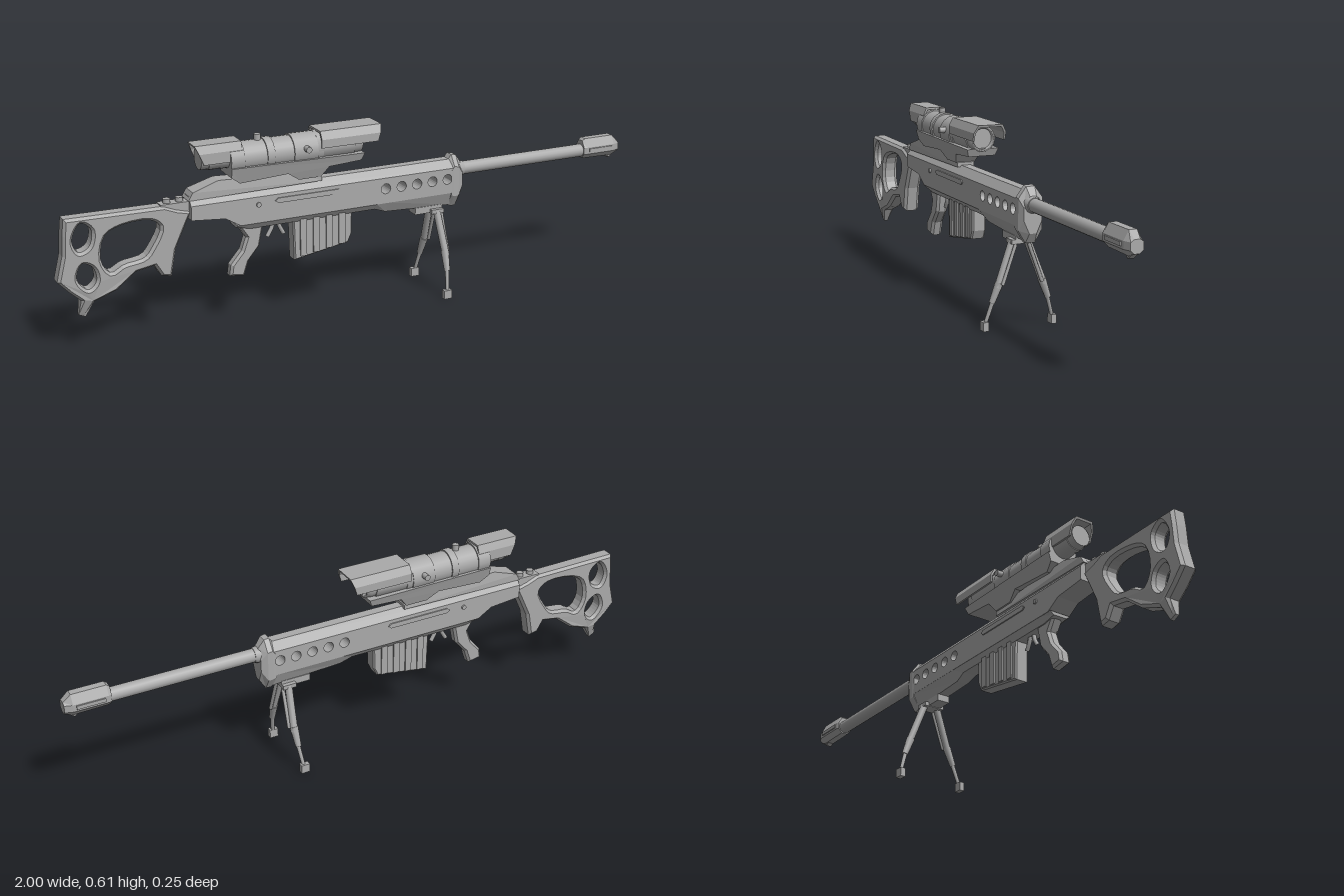
import * as THREE from 'three';

const gunMetal = new THREE.MeshStandardMaterial({ color: 0xaaaaaa });
gunMetal.name = 'gun metal grey';

export function createModel() {
  const root = new THREE.Group();
  root.name = 'rifle';

  const add = (name, geo) => {
    const mesh = new THREE.Mesh(geo, gunMetal);
    mesh.name = name;
    root.add(mesh);
    return mesh;
  };
  const v2 = pts => pts.map(p => new THREE.Vector2(p[0], p[1]));
  const smoothLoop = (pts, n = 28) =>
    new THREE.CatmullRomCurve3(pts.map(p => new THREE.Vector3(p[0], p[1], 0)), true).getPoints(n).slice(0, n);

  // Side outline (x, y) given a half width in z, with chamfered edges and optional holes
  const slab = (pts, half, bevel = 0, holes = []) => {
    const shape = new THREE.Shape(v2(pts));
    holes.forEach(h => shape.holes.push(h.isPath ? h : new THREE.Path(h.map(p => new THREE.Vector2(p.x, p.y)))));
    const depth = 2 * (half - bevel);
    const geo = new THREE.ExtrudeGeometry(shape, {
      depth, curveSegments: 10, bevelEnabled: bevel > 0,
      bevelThickness: bevel, bevelSize: bevel * 0.8, bevelOffset: -bevel * 0.8, bevelSegments: 1,
    });
    return geo.translate(0, 0, -depth / 2);
  };
  // Change vertices by a rule
  const warp = (geo, rule) => {
    const p = geo.attributes.position, v = new THREE.Vector3();
    for (let i = 0; i < p.count; i++) {
      rule(v.fromBufferAttribute(p, i));
      p.setXYZ(i, v.x, v.y, v.z);
    }
    geo.computeVertexNormals();
    return geo;
  };
  // Mirrored half sections [z, y], listed top to bottom, joined along x
  const loft = sections => {
    const rings = sections.map(([x, half]) =>
      [...half, ...half.map(([z, y]) => [-z, y]).reverse()].map(([z, y]) => [x, y, z]));
    const out = [], n = rings[0].length;
    for (let i = 0; i + 1 < rings.length; i++)
      for (let j = 0; j < n; j++) {
        const k = (j + 1) % n, a = rings[i][j], b = rings[i][k], c = rings[i + 1][k], d = rings[i + 1][j];
        out.push(...a, ...b, ...c, ...a, ...c, ...d);
      }
    const first = rings[0], last = rings[rings.length - 1];
    for (let j = 1; j + 1 < n; j++) {
      out.push(...last[0], ...last[j], ...last[j + 1]);
      out.push(...first[0], ...first[j + 1], ...first[j]);
    }
    const geo = new THREE.BufferGeometry();
    geo.setAttribute('position', new THREE.Float32BufferAttribute(out, 3));
    geo.computeVertexNormals();
    return geo;
  };
  const bar = (x0, x1, half) => loft([[x0, half], [x1, half]]);
  // Cylinder along x
  const tube = (x0, x1, y, r0, r1 = r0, sides = 20) =>
    new THREE.CylinderGeometry(r1, r0, x1 - x0, sides).rotateZ(-Math.PI / 2).translate((x0 + x1) / 2, y, 0);
  const box = (x0, x1, y0, y1, z0, z1) =>
    new THREE.BoxGeometry(x1 - x0, y1 - y0, z1 - z0).translate((x0 + x1) / 2, (y0 + y1) / 2, (z0 + z1) / 2);
  // Straight rod between two points
  const rod = (a, b, r0, r1, sides) => {
    const A = new THREE.Vector3(...a), B = new THREE.Vector3(...b), d = B.clone().sub(A);
    const geo = new THREE.CylinderGeometry(r1, r0, d.length(), sides);
    geo.applyQuaternion(new THREE.Quaternion().setFromUnitVectors(new THREE.Vector3(0, 1, 0), d.normalize()));
    return geo.translate(...A.add(B).multiplyScalar(0.5).toArray());
  };

  // Receiver and handguard with a row of round vents
  const vents = [0.083, 0.14, 0.197, 0.254, 0.31].map(x => new THREE.Path().absarc(x, 0.384, 0.017, 0, Math.PI * 2, true));
  vents.forEach(v => { v.isPath = true; });
  add('receiver', slab([[-0.58, 0.42], [-0.58, 0.375], [-0.47, 0.365], [-0.42, 0.335], [0.335, 0.335], [0.335, 0.42]],
    0.039, 0, vents));
  add('receiverTop', bar(-0.58, 0.335, [[0.016, 0.446], [0.039, 0.42]]));
  add('receiverBottom', loft([
    [-0.43, [[0.039, 0.336], [0.024, 0.325]]],
    [-0.38, [[0.039, 0.336], [0.024, 0.315]]],
    [0.05, [[0.039, 0.336], [0.024, 0.315]]],
    [0.09, [[0.039, 0.336], [0.02, 0.3]]],
    [0.335, [[0.039, 0.336], [0.018, 0.288]]],
  ]));
  const cap = (top, w, bottom) => [[w * 0.36, top], [w, top - 0.035], [w, bottom + 0.04], [w * 0.4, bottom]];
  add('handguardCap', loft([
    [0.325, cap(0.446, 0.039, 0.288)], [0.335, cap(0.46, 0.04, 0.283)],
    [0.352, cap(0.457, 0.04, 0.283)], [0.372, cap(0.43, 0.03, 0.315)],
  ]));
  for (const s of [1, -1]) {
    add('ejectionSlot', slab(
      [[-0.305, 0.4], [-0.295, 0.408], [-0.085, 0.408], [-0.075, 0.4], [-0.085, 0.392], [-0.295, 0.392]], 0.004)
      .translate(0, 0, s * 0.039));
    add('receiverPin', new THREE.CylinderGeometry(0.008, 0.008, 0.008, 10).rotateX(Math.PI / 2).translate(-0.36, 0.395, s * 0.04));
  }

  // Barrel and muzzle brake
  add('barrel', tube(0.36, 0.87, 0.404, 0.022, 0.022, 16));
  add('barrelCollar', tube(0.36, 0.385, 0.404, 0.03, 0.024, 16));
  const brake = (t, w, b) => [[w * 0.45, t], [w, 0.418], [w, 0.395], [w * 0.45, b]];
  add('muzzleBrake', loft([
    [0.855, brake(0.44, 0.025, 0.38)], [0.865, brake(0.447, 0.028, 0.378)],
    [0.975, brake(0.447, 0.028, 0.376)], [1.0, brake(0.425, 0.02, 0.385)],
  ]));
  add('muzzleFin', slab([[0.95, 0.385], [0.967, 0.366], [0.993, 0.385]], 0.012, 0.003));
  for (const s of [1, -1]) add('brakePort', box(0.875, 0.965, 0.402, 0.414, s * 0.028 - 0.004, s * 0.028 + 0.004));

  // Skeleton stock, narrowing towards the toe
  const stockHoles = [
    [[-0.92, 0.412], [-0.888, 0.388], [-0.897, 0.336], [-0.93, 0.322], [-0.948, 0.362]],
    [[-0.848, 0.362], [-0.794, 0.388], [-0.7, 0.389], [-0.674, 0.364], [-0.703, 0.302], [-0.728, 0.274],
      [-0.794, 0.262], [-0.835, 0.243], [-0.863, 0.286]],
    [[-0.922, 0.284], [-0.889, 0.268], [-0.88, 0.224], [-0.906, 0.2], [-0.94, 0.238]],
  ].map(h => smoothLoop(h));
  add('stock', warp(slab([
    [-0.97, 0.432], [-0.976, 0.38], [-0.98, 0.318], [-1, 0.238], [-0.965, 0.2], [-0.93, 0.168], [-0.938, 0.12],
    [-0.917, 0.11], [-0.89, 0.158], [-0.82, 0.184], [-0.757, 0.233], [-0.698, 0.243], [-0.676, 0.206],
    [-0.644, 0.2], [-0.628, 0.286], [-0.596, 0.355], [-0.575, 0.4], [-0.62, 0.412], [-0.66, 0.428],
  ], 0.028, 0.01, stockHoles), v => { v.z *= THREE.MathUtils.clamp(0.36 + (v.y - 0.125) * 13, 0.36, 1); }));
  add('stockHinge', box(-0.67, -0.56, 0.4, 0.432, -0.02, 0.02));
  for (const x of [-0.645, -0.605])
    add('hingeKnuckle', new THREE.CylinderGeometry(0.012, 0.012, 0.05, 12).translate(x, 0.42, 0));

  // Pistol grip, trigger and magazine
  add('pistolGrip', slab([
    [-0.43, 0.345], [-0.395, 0.286], [-0.41, 0.243], [-0.447, 0.2], [-0.452, 0.165], [-0.404, 0.157],
    [-0.388, 0.205], [-0.35, 0.25], [-0.334, 0.33],
  ], 0.02, 0.009));
  const curve = pts => new THREE.CatmullRomCurve3(pts.map(p => new THREE.Vector3(p[0], p[1], 0)));
  add('trigger', new THREE.TubeGeometry(curve([[-0.295, 0.33], [-0.302, 0.3], [-0.318, 0.272]]), 8, 0.007, 8));
  add('magazineCatch', new THREE.TubeGeometry(curve([[-0.285, 0.33], [-0.275, 0.3], [-0.262, 0.275]]), 8, 0.007, 8));
  add('magazine', slab([[-0.238, 0.33], [-0.234, 0.185], [-0.045, 0.216], [-0.032, 0.245], [-0.03, 0.33]], 0.024, 0.005));
  for (const s of [1, -1]) for (let i = 0; i < 4; i++) {
    const x = -0.215 + i * 0.045, low = 0.197 + i * 0.007;
    add('magazineRib', box(x, x + 0.022, low, 0.325, s * 0.025 - 0.004, s * 0.025 + 0.004));
  }

  // Folding bipod
  add('bipodMount', box(0.2, 0.3, 0.272, 0.295, -0.022, 0.022));
  add('bipodAxle', box(0.255, 0.3, 0.27, 0.284, -0.036, 0.036));
  for (const s of [1, -1]) {
    add('bipodUpperLeg', rod([0.278, 0.28, s * 0.024], [0.287, 0.135, s * 0.078], 0.012, 0.012, 8));
    add('bipodStrut', rod([0.297, 0.27, s * 0.022], [0.3, 0.145, s * 0.067], 0.006, 0.006, 6));
    add('bipodSleeve', rod([0.286, 0.15, s * 0.072], [0.283, 0.088, s * 0.096], 0.014, 0.01, 8));
    add('bipodLowerLeg', rod([0.284, 0.1, s * 0.091], [0.274, 0.015, s * 0.117], 0.007, 0.006, 8));
    add('bipodFoot', box(0.258, 0.287, 0, 0.029, s * 0.116 - 0.009, s * 0.116 + 0.009));
  }

  // Scope mount and cradle, tapering towards the receiver
  add('scopeRail', warp(slab([[-0.585, 0.435], [-0.57, 0.46], [-0.485, 0.487], [-0.21, 0.475], [-0.14, 0.455], [-0.14, 0.44]], 0.03),
    v => { v.z *= v.y < 0.47 ? 1 : 0.85; }));
  add('scopeCradle', warp(slab([
    [-0.45, 0.525], [-0.45, 0.495], [-0.42, 0.472], [-0.26, 0.482], [-0.22, 0.455], [-0.145, 0.455],
    [-0.12, 0.488], [-0.01, 0.495], [0, 0.52],
  ], 0.055), v => { v.z *= THREE.MathUtils.clamp(0.55 + (v.y - 0.445) * 6, 0.55, 1); }));

  // Scope body, rings and lenses
  add('scopeTube', tube(-0.41, -0.14, 0.545, 0.049, 0.049, 24));
  for (const [a, b] of [[-0.45, -0.405], [-0.33, -0.305], [-0.24, -0.16]])
    add('scopeRing', tube(a, b, 0.546, 0.053, 0.053, 16));
  add('eyepiece', tube(-0.54, -0.44, 0.556, 0.034, 0.04, 20));
  add('eyepieceRing', tube(-0.515, -0.495, 0.556, 0.038, 0.038, 20));
  add('objectiveHousing', tube(-0.16, -0.03, 0.55, 0.052, 0.05, 8).rotateX(0));
  const bell = new THREE.LatheGeometry(v2([[0, 0.012], [0.034, 0.012], [0.034, 0.035], [0.042, 0.035], [0.045, 0.02], [0.045, -0.04]])
    .reverse(), 28).rotateZ(-Math.PI / 2).translate(-0.035, 0.552, 0);
  add('objectiveBell', bell);
  add('objectiveLens', new THREE.CircleGeometry(0.034, 24).rotateY(Math.PI / 2).translate(-0.012, 0.552, 0));

  // Angular hoods, open underneath, with raked ends
  const hood = (name, x0, x1, w, low, rake, end) => {
    const outer = [[-w, low], [-w, 0.58], [-w * 0.75, 0.605], [w * 0.75, 0.605], [w, 0.58], [w, low]];
    const t = w - 0.006;
    const inner = [[t, low], [t, 0.577], [t * 0.75, 0.598], [-t * 0.75, 0.598], [-t, 0.577], [-t, low]];
    const geo = new THREE.ExtrudeGeometry(new THREE.Shape(v2([...outer, ...inner])), { depth: x1 - x0, bevelEnabled: false })
      .rotateY(Math.PI / 2).translate(x0, 0, 0);
    add(name, warp(geo, v => { if (Math.abs(v.x - end) < 0.001) v.x += (0.605 - v.y) * rake; }));
  };
  hood('frontHood', -0.15, 0.062, 0.056, 0.553, -0.3, 0.062);
  hood('rearHood', -0.56, -0.41, 0.042, 0.545, 0.42, -0.56);

  // Adjustment knobs
  add('topKnob', new THREE.CylinderGeometry(0.011, 0.011, 0.03, 12).translate(-0.345, 0.597, 0));
  add('sideKnobs', new THREE.CylinderGeometry(0.01, 0.01, 0.142, 12).rotateX(Math.PI / 2).translate(-0.2, 0.558, 0));

  return root;
}
